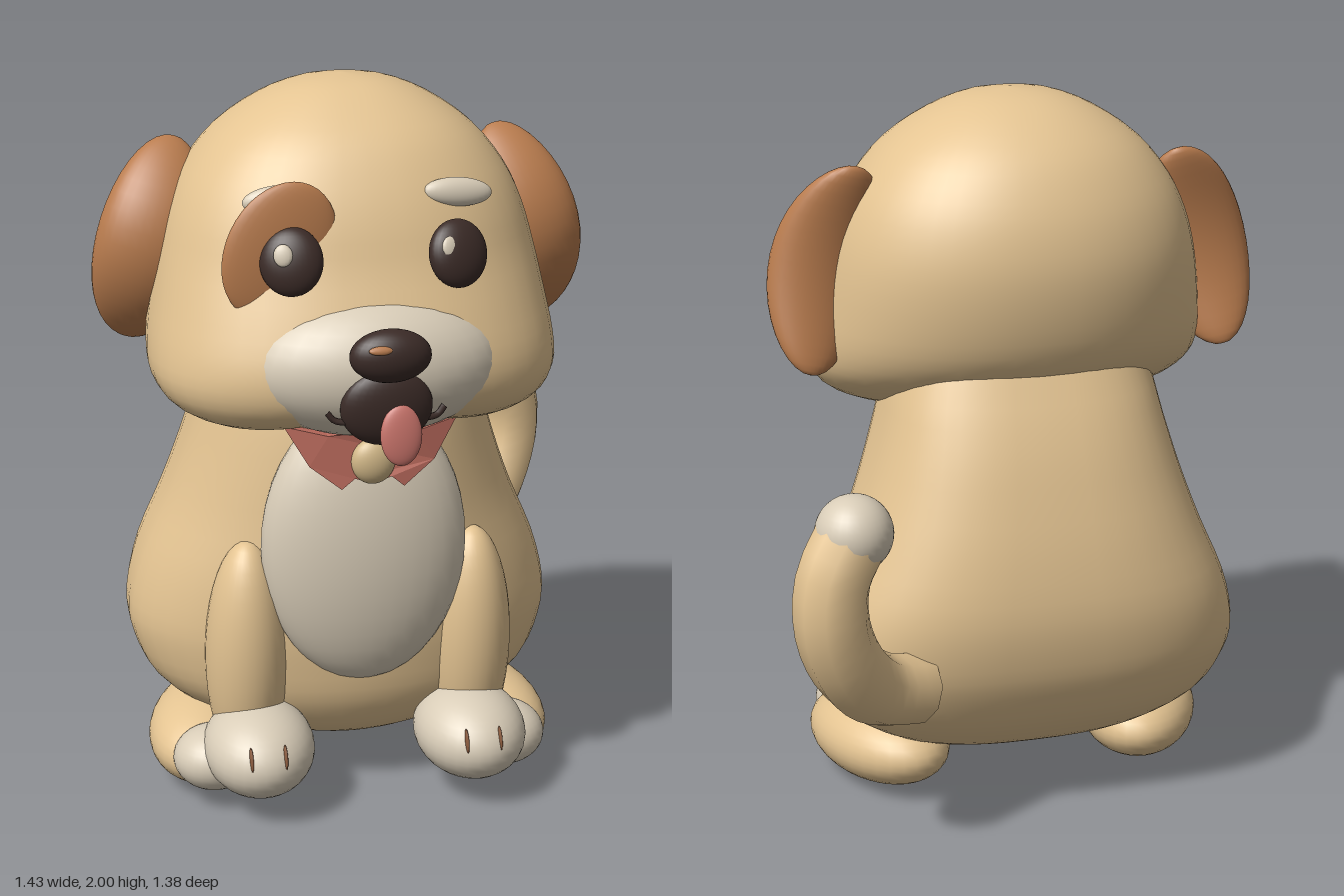
import * as THREE from 'three';

const mat = (name, color, side = THREE.FrontSide) => {
  const m = new THREE.MeshStandardMaterial({ color, side });
  m.name = name;
  return m;
};

// Profile rows from bottom to top: [y, half width, front z, back z]
const HEAD = [
  [1.095, 0, 0.22, 0.22], [1.093, 0.19, 0.36, 0.08], [1.108, 0.37, 0.44, 0.0], [1.155, 0.495, 0.51, -0.13],
  [1.225, 0.55, 0.55, -0.25], [1.31, 0.555, 0.555, -0.33], [1.42, 0.538, 0.52, -0.37], [1.55, 0.513, 0.467, -0.387],
  [1.66, 0.482, 0.432, -0.375], [1.76, 0.433, 0.387, -0.34], [1.86, 0.35, 0.32, -0.277],
  [1.94, 0.235, 0.222, -0.18], [1.985, 0.12, 0.135, -0.08], [2.0, 0, 0.03, 0.03],
];
const BODY = [
  [0.115, 0, 0, 0], [0.122, 0.14, 0.13, -0.09], [0.15, 0.28, 0.21, -0.18], [0.2, 0.42, 0.27, -0.27],
  [0.29, 0.54, 0.32, -0.365], [0.4, 0.595, 0.34, -0.43], [0.5, 0.605, 0.35, -0.465], [0.64, 0.57, 0.355, -0.483],
  [0.8, 0.50, 0.35, -0.465], [0.95, 0.445, 0.345, -0.43], [1.1, 0.40, 0.33, -0.385], [1.25, 0.36, 0.29, -0.32],
  [1.35, 0.3, 0.24, -0.25], [1.42, 0, 0, 0],
];
const CX = -0.03; // symmetry line of the dog, the tail swings out to +x

// Smooth interpolation along profile rows
function sample(rows, t) {
  const i = Math.min(Math.floor(t), rows.length - 2), f = t - i;
  const at = k => rows[Math.max(0, Math.min(rows.length - 1, k))];
  const [a, b, c, d] = [at(i - 1), at(i), at(i + 1), at(i + 2)];
  return b.map((p, k) => p + 0.5 * f * (c[k] - a[k] + f * (2 * a[k] - 5 * p + 4 * c[k] - d[k]
    + f * (3 * (p - c[k]) + d[k] - a[k]))));
}

// Closed skin through superellipse rings; front and back halves may differ in squareness
function loft(rows, frontPower, backPower, segs = 48, perRow = 3) {
  const pos = [], idx = [], n = (rows.length - 1) * perRow;
  for (let j = 0; j <= n; j++) {
    const [y, w, f, b] = sample(rows, j / perRow);
    for (let i = 0; i < segs; i++) {
      const a = (i / segs) * Math.PI * 2, power = Math.sin(a) < 0 ? backPower : frontPower;
      const curve = v => Math.sign(v) * Math.abs(v) ** (2 / power);
      pos.push(w * curve(Math.cos(a)), y, (f + b) / 2 + ((f - b) / 2) * curve(Math.sin(a)));
      if (j === n) continue;
      const p = j * segs + i, q = j * segs + (i + 1) % segs;
      idx.push(p, p + segs, q, q, p + segs, q + segs);
    }
  }
  const g = new THREE.BufferGeometry();
  g.setAttribute('position', new THREE.Float32BufferAttribute(pos, 3));
  g.setIndex(idx);
  g.computeVertexNormals();
  return g;
}

// Move every vertex by a rule
function warp(geo, rule) {
  const p = geo.attributes.position, v = new THREE.Vector3();
  for (let i = 0; i < p.count; i++) {
    rule(v.fromBufferAttribute(p, i));
    p.setXYZ(i, v.x, v.y, v.z);
  }
  geo.computeVertexNormals();
  return geo;
}

export function createModel() {
  const tan = mat('tan fur', 0xe4c492), brown = mat('brown fur', 0xb97c4e), cream = mat('cream fur', 0xd9cdb8);
  const dark = mat('dark brown', 0x3b2b27), pink = mat('tongue pink', 0xc8736a);
  const red = mat('scarf red', 0xbd6c5e, THREE.DoubleSide), gold = mat('tag gold', 0xd2b888);
  const claw = mat('claw brown', 0x8a5a3c);

  const model = new THREE.Group();
  model.name = 'puppy';
  const dog = new THREE.Group();
  dog.name = 'dog';
  dog.position.x = CX;
  model.add(dog);

  const add = (name, geo, material, p = [0, 0, 0], r = [0, 0, 0]) => {
    const m = new THREE.Mesh(geo, material);
    m.name = name;
    m.position.set(...p);
    m.rotation.set(...r);
    dog.add(m);
  };
  const ball = (rx, ry, rz, w = 32, h = 20) => new THREE.SphereGeometry(1, w, h).scale(rx, ry, rz);

  add('body', loft(BODY, 1.95, 2.75), tan);
  // Underside of the head is raised between the jowls
  add('head', warp(loft(HEAD, 2.32, 2.15), v => {
    if (v.y < 1.22 && v.z > 0.1) v.y += 0.4 * (1.22 - v.y) * Math.exp(-((v.x / 0.24) ** 2)) * Math.min(1, (v.z - 0.1) * 5);
  }), tan);
  add('belly', ball(0.285, 0.4, 0.13), cream, [0, 0.757, 0.31]);

  // Muzzle, nose, mouth and tongue
  add('muzzle', ball(0.345, 0.195, 0.2), cream, [0, 1.3, 0.41]);
  add('nose', ball(0.107, 0.07, 0.055), dark, [0, 1.38, 0.635]);
  add('noseShine', ball(0.032, 0.012, 0.008, 12, 8), brown, [-0.035, 1.408, 0.682], [-0.5, 0, 0]);
  add('mouth', ball(0.122, 0.105, 0.045), dark, [0, 1.23, 0.59], [0.1, 0, 0]);
  add('tongue', ball(0.055, 0.08, 0.018), pink, [0.028, 1.167, 0.64], [-0.1, 0, 0]);
  for (const s of [-1, 1]) {
    const smile = new THREE.CatmullRomCurve3([
      new THREE.Vector3(s * 0.155, 1.222, 0.582), new THREE.Vector3(s * 0.135, 1.2, 0.585),
      new THREE.Vector3(s * 0.08, 1.195, 0.595),
    ]);
    add('smileLine', new THREE.TubeGeometry(smile, 10, 0.009, 6), dark);
  }

  // Fur patch around one eye
  add('eyePatch', ball(0.142, 0.19, 0.03), brown, [-0.243, 1.608, 0.408], [0, 0, -0.45]);

  // Ear: thick flattened ellipsoid bent backwards at both ends
  const ear = warp(ball(0.145, 0.29, 0.08), v => {
    v.z += 0.023 - 0.105 * (v.y / 0.29) ** 2;
  });

  for (const s of [-1, 1]) {
    const side = s > 0 ? 'left' : 'right';
    add(side + 'Ear', ear, brown, [s * 0.53, 1.545, 0.002], [0, s * 0.15, s * 0.25]);
    add(side + 'Eye', ball(0.083, 0.09, 0.042), dark, [s * 0.22, 1.59, 0.448], [-0.27, s * 0.25, 0]);
    add(side + 'EyeShine', ball(0.025, 0.029, 0.01, 14, 10), cream, [s * 0.22 - 0.027, 1.615, 0.479], [-0.27, s * 0.25, 0]);
    add(side + 'Brow', ball(0.095, 0.038, 0.026), cream, [s * 0.237, 1.735, 0.368], [-0.2, s * 0.12, -s * 0.06]);

    // Front leg and paw
    add(side + 'FrontLeg', ball(0.116, 0.34, 0.125), tan, [s * 0.316, 0.425, 0.245], [0.06, 0, 0]);
    add(side + 'FrontPaw', ball(0.155, 0.125, 0.19), cream, [s * 0.3, 0.185, 0.33], [0.1, s * 0.06, 0]);
    for (const t of [-1, 1]) {
      add(side + 'ToeLine', ball(0.006, 0.034, 0.012, 8, 8), claw, [s * 0.3 + t * 0.047, 0.22, 0.493], [-0.45, 0, 0]);
    }

    // Splayed hind foot and toe
    add(side + 'HindFoot', ball(0.17, 0.124, 0.28), tan, [s * 0.392, 0.127, 0.03], [0.05, s * 0.3, 0]);
    add(side + 'HindToes', ball(0.115, 0.09, 0.115), cream, [s * 0.415, 0.138, 0.272], [0, s * 0.3, 0]);
  }

  // Scarf with two points, bent around the chest
  const scarf = new THREE.Shape([
    [-0.235, 1.13], [-0.17, 1.02], [-0.085, 0.955], [-0.05, 0.985], [0, 0.97], [0.05, 0.985],
    [0.085, 0.955], [0.17, 1.02], [0.235, 1.13], [0.12, 1.105], [0, 1.12], [-0.12, 1.105],
  ].map(p => new THREE.Vector2(...p)));
  add('scarf', warp(new THREE.ExtrudeGeometry(scarf, { depth: 0.035, bevelEnabled: false }), v => {
    v.z += 0.402 - 0.7 * v.x ** 2;
  }), red);
  add('tag', ball(0.06, 0.063, 0.035), gold, [0, 1.03, 0.43]);

  // Upturned tail with a pale tip
  const path = new THREE.CatmullRomCurve3([
    [0.38, 0.455, -0.4], [0.5, 0.5, -0.475], [0.59, 0.6, -0.55], [0.642, 0.74, -0.59],
    [0.637, 0.87, -0.59], [0.575, 0.985, -0.565],
  ].map(p => new THREE.Vector3(...p)));
  add('tail', new THREE.TubeGeometry(path, 16, 0.1, 10), tan);
  add('tailTip', ball(0.103, 0.103, 0.103), cream, [0.575, 0.985, -0.568]);

  return model;
}
